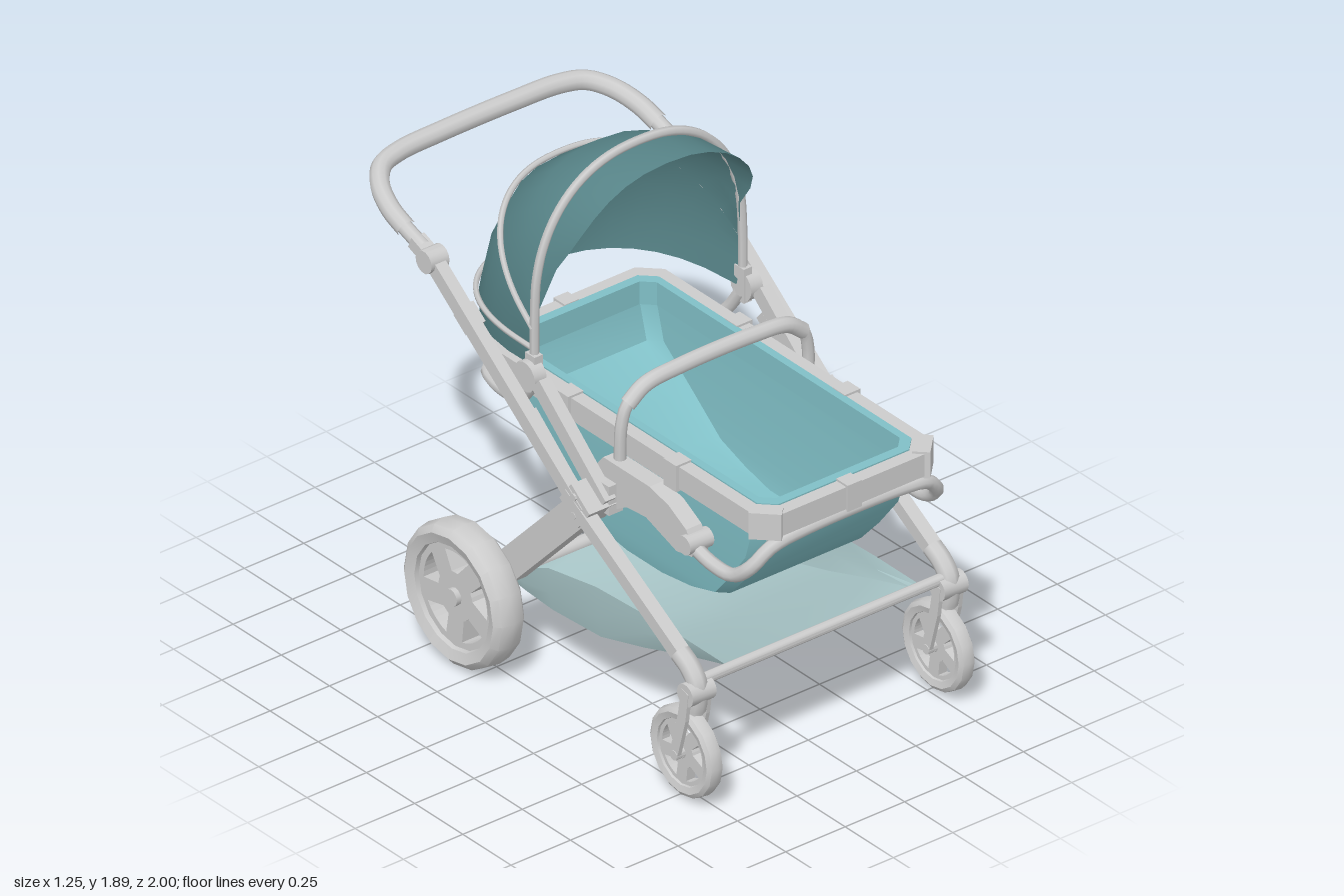
import * as THREE from 'three';
import { toCreasedNormals } from 'three/addons/utils/BufferGeometryUtils.js';

const grey = new THREE.MeshStandardMaterial({ color: 0xcccccc });
const cloth = (color) => new THREE.MeshStandardMaterial({ color, side: THREE.DoubleSide });
const shellCloth = cloth(0x80bfc6), canopyCloth = cloth(0x588589), basketCloth = cloth(0xa9c6c8);
const V = (x, y, z) => new THREE.Vector3(x, y, z);

export function createModel() {
  const model = new THREE.Group();
  model.name = 'stroller';

  const add = (name, geo, pos = [0, 0, 0], mat = grey, parent = model) => {
    const mesh = new THREE.Mesh(geo, mat);
    mesh.name = name;
    mesh.position.set(...pos);
    parent.add(mesh);
    return mesh;
  };
  const box = (name, w, h, d, pos) => add(name, new THREE.BoxGeometry(w, h, d), pos);
  // Square bar between two [y, z] points at one x
  const bar = (name, x, a, b, w, h) => {
    const m = box(name, w, h, Math.hypot(b[0] - a[0], b[1] - a[1]), [x, (a[0] + b[0]) / 2, (a[1] + b[1]) / 2]);
    m.lookAt(x, b[0], b[1]);
    return m;
  };
  // Cylinder lying along x
  const pin = (name, r, len, pos, sides = 14) =>
    add(name, toCreasedNormals(new THREE.CylinderGeometry(r, r, len, sides).rotateZ(Math.PI / 2), 0.7), pos);
  const tube = (name, pts, r, segs = 48, sides = 8) =>
    add(name, new THREE.TubeGeometry(new THREE.CatmullRomCurve3(pts, false, 'centripetal'), segs, r, sides));
  // Mirrors half a path (ending near the middle) to the other side
  const span = (half) => [...half, ...half.slice().reverse().map((p) => V(-p.x, p.y, p.z))];
  // Plate drawn in [z, y], centred across x
  const plateGeo = (pts, t, holes = []) => {
    const shape = new THREE.Shape(pts.map((p) => new THREE.Vector2(...p)));
    shape.holes = holes.map((h) => new THREE.Path(h.map((p) => new THREE.Vector2(...p))));
    return new THREE.ExtrudeGeometry(shape, { depth: t, bevelEnabled: false }).rotateY(-Math.PI / 2).translate(t / 2, 0, 0);
  };
  // Skin over rows of points
  const loft = (rows, closed = false) => {
    const n = rows[0].length, index = [];
    for (let i = 0; i < rows.length - 1; i++)
      for (let j = 0; j < (closed ? n : n - 1); j++) {
        const k = (j + 1) % n, a = i * n + j, b = i * n + k, c = a + n, d = b + n;
        index.push(a, b, d, a, d, c);
      }
    const g = new THREE.BufferGeometry().setFromPoints(rows.flat());
    g.setIndex(index);
    g.computeVertexNormals();
    return g;
  };

  // Wheel: lathed tyre, disc with five windows, hub
  const ring = (r, n, a0 = 0, a1 = Math.PI * 2) =>
    Array.from({ length: n }, (_, i) => {
      const a = a0 + (a1 - a0) * i / n;
      return [r * Math.cos(a), r * Math.sin(a)];
    });
  const wheel = (name, r, w, x, y, z) => {
    const g = new THREE.Group();
    g.name = name;
    g.position.set(x, y, z);
    model.add(g);
    const h = w / 2;
    const prof = [[.74, -h * .8], [.88, -h], [.97, -h * .7], [1, 0], [.97, h * .7], [.88, h], [.74, h * .8], [.7, 0], [.74, -h * .8]];
    const tyre = new THREE.LatheGeometry(prof.map(([a, b]) => new THREE.Vector2(a * r, b)), 16);
    add('tyre', toCreasedNormals(tyre.rotateZ(Math.PI / 2), 0.75), [0, 0, 0], grey, g);
    const windows = [0, 1, 2, 3, 4].map((i) => {
      const a = Math.PI / 2 + i * Math.PI * 0.4;
      return [...ring(r * .63, 7, a - .42, a + .46), ...ring(r * .34, 3, a + .22, a - .3)];
    });
    add('spokes', plateGeo(ring(r * .76, 24), w * .55, windows), [0, 0, 0], grey, g);
    const hub = new THREE.CylinderGeometry(r * .12, r * .12, w * .85, 12).rotateZ(Math.PI / 2);
    add('hub', toCreasedNormals(hub, 0.7), [0, 0, 0], grey, g);
  };

  for (const s of [1, -1]) {
    wheel('rearWheel', .262, .13, s * .56, .265, -.345);
    wheel('frontWheel', .165, .065, s * .53, .178, .772);

    // Front fork, curving down from the rail
    for (const dx of [-.044, .044])
      add('forkPlate', plateGeo([[.845, .44], [.81, .45], [.79, .34], [.755, .19], [.765, .16], [.785, .165], [.83, .33]], .016), [s * (.53 + dx), 0, 0]);
    tube('forkNeck', [V(s * .53, .535, .74), V(s * .53, .505, .79), V(s * .53, .46, .825), V(s * .53, .39, .825), V(s * .53, .355, .817)], .036, 16);
    pin('forkCrown', .042, .1, [s * .53, .43, .826]);
    pin('frontWheelPin', .018, .11, [s * .53, .178, .772]);

    // Main frame rails
    bar('upperRail', s * .53, [1.44, -.55], [.84, .24], .045, .055);
    bar('lowerRail', s * .53, [.88, .16], [.515, .775], .05, .05);
    bar('innerRail', s * .465, [1.165, -.065], [.865, .28], .045, .06);
    bar('slideSleeve', s * .5, [1.05, -.09], [.795, .215], .05, .045);
    bar('rearLeg', s * .47, [.83, .2], [.4, -.21], .06, .11);
    bar('rearLegFoot', s * .465, [.44, -.17], [.25, -.355], .055, .075);
    pin('axleCollar', .048, .09, [s * .465, .265, -.345]);
    const joint = box('frameJoint', .115, .1, .12, [s * .492, .855, .215]);
    joint.rotation.x = .65;
    for (const y of [.82, .89]) pin('rivet', .014, .13, [s * .492, y, .215], 8);
    const clip = box('railClip', .05, .07, .08, [s * .5, 1.27, -.39]);
    clip.rotation.x = .65;

    // Handle joint and canopy pivot
    pin('handleJoint', .042, .075, [s * .53, 1.435, -.545]);
    bar('handleSocket', s * .53, [1.435, -.545], [1.468, -.63], .055, .045);
    pin('canopyPivot', .055, .05, [s * .455, 1.16, -.13]);
    box('canopyMount', .035, .13, .05, [s * .44, 1.17, -.13]);

    // Side arm holding the carrycot
    const arm = [[.69, .86], [.65, .925], [.56, .975], [.46, 1], [.22, 1], [.17, .94], [.25, .81], [.34, .865], [.44, .875], [.6, .82], [.68, .835]];
    add('sideArm', plateGeo(arm, .065), [s * .4, 0, 0]);
    pin('armKnob', .035, .1, [s * .4, .875, .66]);
    bar('armLink', s * .435, [.93, .24], [.82, .24], .06, .1);

    // Clamps on the long sides of the rim
    for (const z of [.51, -.05]) box('rimClamp', .065, .1, .065, [s * .355, 1.05, z]);
    const corner = box('rimCorner', .06, .1, .11, [s * .33, 1.05, .938]);
    corner.rotation.y = -s * .78;
  }

  // Cross members
  pin('rearAxle', .026, 1.0, [0, .265, -.345]);
  pin('frontCrossbar', .02, 1.0, [0, .462, .822]);

  // Push handle with thicker grip, in one inclined plane
  const handle = [[.53, -.59], [.53, -.68], [.523, -.77], [.49, -.865], [.43, -.932], [.34, -.958], [.15, -.966]]
    .map(([x, z]) => V(x, 1.456 + .33 * (-z - .59), z));
  tube('handleTube', span(handle), .027, 64, 10);
  tube('handleGrip', span(handle.slice(1)), .034, 64, 10);

  // Bumper bar across the carrycot
  const bumper = [V(.395, .98, .26), V(.392, 1.13, .265), V(.37, 1.2, .268), V(.3, 1.25, .27), V(.15, 1.266, .27)];
  tube('bumperBar', span(bumper), .021);
  tube('bumperGrip', span(bumper.slice(2)), .028, 40, 10);

  // Carrying tubes wrapped around both ends of the carrycot
  tube('frontCarryTube', span([V(.41, .86, .66), V(.408, .835, .76), V(.405, .84, .86), V(.39, .9, .935), V(.33, .965, .962), V(.2, .985, .965)]), .025);
  tube('rearCarryTube', span([V(.43, 1.14, -.13), V(.42, 1.05, -.19), V(.4, .99, -.26), V(.385, .975, -.4), V(.34, .975, -.49), V(.2, .975, -.505)]), .023);

  // Carrycot rim: chamfered frame, with a cloth lining inside
  const octagon = (x, z0, z1, c) => [[x, z0 + c], [x, z1 - c], [x - c, z1], [c - x, z1], [-x, z1 - c], [-x, z0 + c], [c - x, z0], [x - c, z0]];
  const frame = (name, outer, inner, y, h, mat) => {
    const v = (p) => new THREE.Vector2(p[0], -p[1]);
    const shape = new THREE.Shape(outer.map(v));
    shape.holes.push(new THREE.Path(inner.map(v)));
    add(name, new THREE.ExtrudeGeometry(shape, { depth: h, bevelEnabled: false }).rotateX(-Math.PI / 2), [0, y, 0], mat);
  };
  frame('cotRim', octagon(.375, -.525, .985, .07), octagon(.325, -.475, .935, .05), 1.008, .084, grey);
  frame('cotLining', octagon(.325, -.475, .935, .05), octagon(.296, -.44, .9, .04), 1.01, .087, shellCloth);
  box('frontRimClamp', .06, .1, .06, [0, 1.05, .962]);
  box('rearRimClamp', .06, .1, .06, [0, 1.05, -.505]);

  // Carrycot shell: [y, half width, rear z, front z, corner cut]
  const levels = [[1.04, .33, -.485, .92, .04], [.98, .33, -.48, .905, .04], [.86, .325, -.44, .865, .04], [.74, .318, -.27, .775, .04],
    [.64, .31, -.12, .685, .035], [.6, .305, .02, .55, .03], [.575, .3, .16, .38, .02], [.57, .01, .25, .29, .004]];
  const shellRows = levels.map(([y, x, z0, z1, c]) => octagon(x, z0, z1, c).map((p) => V(p[0], y, p[1])));
  add('cotShell', toCreasedNormals(loft(shellRows, true), 0.6), [0, 0, 0], shellCloth);

  // Canopy arches: half width, base [y, z], crown [y, z], roundness power, forward bulge
  const arch = ([w, by, bz, cy, cz, n, bulge = 0], grow = 0, segs = 16) =>
    Array.from({ length: segs + 1 }, (_, i) => {
      const a = Math.PI * i / segs, c = Math.cos(a), e = 2 / n;
      const u = Math.sign(c) * Math.abs(c) ** e, t = Math.max(0, Math.sin(a)) ** e;
      const len = Math.hypot(cy - by, cz - bz), k = t * (1 + grow / len);
      return V(u * (w + grow), by + (cy - by) * k, bz + (cz - bz) * k + bulge * Math.sin(Math.PI * t));
    });
  const arches = [
    [.415, 1.49, -.115, 1.865, .02, 2.25, .045],
    [.425, 1.38, -.13, 1.865, -.135, 2.3],
    [.432, 1.355, -.13, 1.785, -.34, 2.3],
    [.435, 1.33, -.13, 1.64, -.53, 2.35],
    [.435, 1.29, -.13, 1.45, -.625, 2.5],
    [.43, 1.25, -.13, 1.245, -.68, 2.6],
    [.42, 1.165, -.14, 1.135, -.685, 2.6],
  ];
  add('canopyCloth', toCreasedNormals(loft(arches.map((a) => arch(a))), 0.6), [0, 0, 0], canopyCloth);
  tube('canopyFrontBow', [V(.438, 1.16, -.13), ...arch(arches[1], .012), V(-.438, 1.16, -.13)], .016, 64, 6);
  tube('canopyMiddleBow', arch(arches[3], .01), .011, 56, 6);
  tube('canopyRearBow', arch(arches[5], .01), .01, 56, 6);

  // Storage basket slung between the crossbar and the axle: z, edge height, floor height
  const sling = [[.81, .48, .465], [.6, .48, .39], [.38, .472, .305], [.15, .46, .23], [-.1, .415, .22], [-.24, .35, .24], [-.34, .285, .265]];
  const basketRows = sling.map(([z, t, b]) =>
    [[-.405, t], [-.4, b + (t - b) * .5], [-.385, b + (t - b) * .14], [0, b], [.385, b + (t - b) * .14], [.4, b + (t - b) * .5], [.405, t]].map(([x, y]) => V(x, y, z)));
  add('storageBasket', toCreasedNormals(loft(basketRows), 0.6), [0, 0, 0], basketCloth);

  return model;
}
